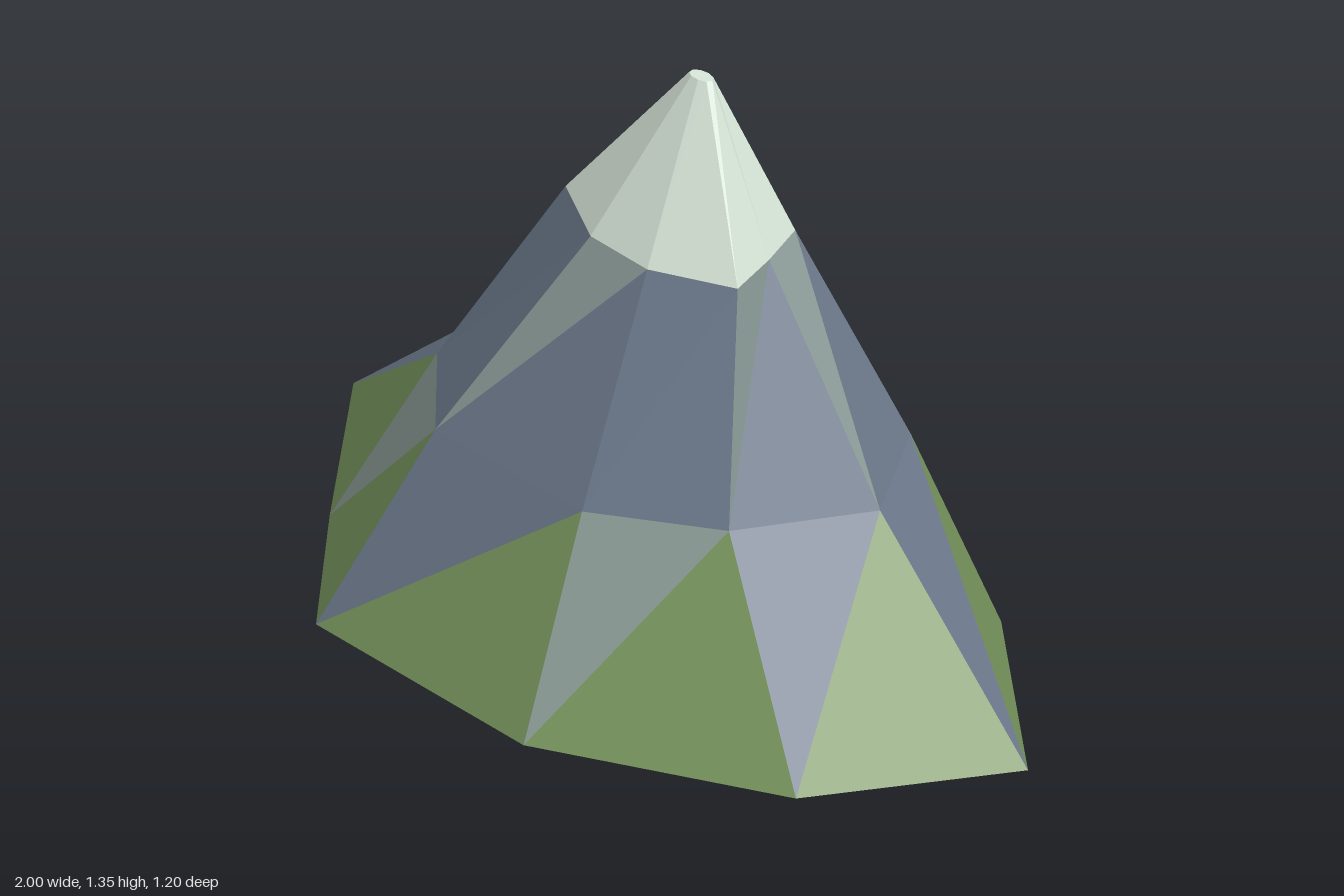
import * as THREE from 'three';

const mat = (name, color) => {
  const m = new THREE.MeshStandardMaterial({ color, flatShading: true });
  m.name = name;
  return m;
};

// Build a flat-faced mesh from a list of triangles
function facets(name, triangles, material) {
  const g = new THREE.BufferGeometry().setFromPoints(triangles.flat());
  g.computeVertexNormals();
  const mesh = new THREE.Mesh(g, material);
  mesh.name = name;
  return mesh;
}

const ring = (y, pts) => pts.map(([x, z]) => new THREE.Vector3(x, y, z));

export function createModel() {
  const grass = mat('grass green', 0x78965e);
  const rock = mat('slate blue rock', 0x6c798b);
  const paleRock = mat('pale grey rock', 0x8b9b97);
  const snow = mat('snow white', 0xd8e6d9);

  // Nine-sided cross-sections from foot to summit
  const foot = ring(0, [[1, 0], [0.7, 0.39], [0.14, 0.6], [-0.48, 0.53], [-0.72, 0.2],
    [-1, -0.21], [-0.39, -0.53], [0.13, -0.6], [0.6, -0.39]]);
  const shoulder = ring(0.475, [[0.6, 0], [0.41, 0.26], [0.13, 0.4], [-0.3, 0.36], [-0.48, 0.14],
    [-0.48, -0.14], [-0.21, -0.36], [0.13, -0.405], [0.465, -0.26]]);
  const snowLine = ring(0.97, [[0.3, 0], [0.32, 0.125], [0.13, 0.19], [-0.04, 0.17], [-0.2, 0.06],
    [-0.17, -0.065], [-0.035, -0.17], [0.13, -0.187], [0.27, -0.12]]);
  const n = foot.length;
  const summit = ring(1.35, foot.map((_, i) => {
    const a = (i / n) * Math.PI * 2;
    return [0.117 + 0.03 * Math.cos(a), 0.017 * Math.sin(a)];
  }));

  const tris = { grass: [], rock: [], pale: [], snow: [] };

  // Join two rings; the down-pointing facets alternate between two colours
  function band(low, high, upKey, evenKey, oddKey) {
    for (let i = 0; i < n; i++) {
      const j = (i + 1) % n;
      tris[upKey].push([low[i], high[i], low[j]]);
      tris[i % 2 ? oddKey : evenKey].push([low[j], high[i], high[j]]);
    }
  }
  band(foot, shoulder, 'grass', 'rock', 'pale');
  band(shoulder, snowLine, 'rock', 'pale', 'rock');
  band(snowLine, summit, 'snow', 'snow', 'snow');

  // Underside and summit caps
  const under = [];
  const bottom = new THREE.Vector3(0, 0, 0);
  const top = new THREE.Vector3(0.117, 1.35, 0);
  for (let i = 0; i < n; i++) {
    const j = (i + 1) % n;
    under.push([bottom, foot[i], foot[j]]);
    tris.snow.push([top, summit[j], summit[i]]);
  }

  const mountain = new THREE.Group();
  mountain.name = 'mountain';
  mountain.add(
    facets('grassySlopes', tris.grass, grass),
    facets('rockFaces', tris.rock, rock),
    facets('paleRockFaces', tris.pale, paleRock),
    facets('snowCap', tris.snow, snow),
    facets('underside', under, grass),
  );
  return mountain;
}
